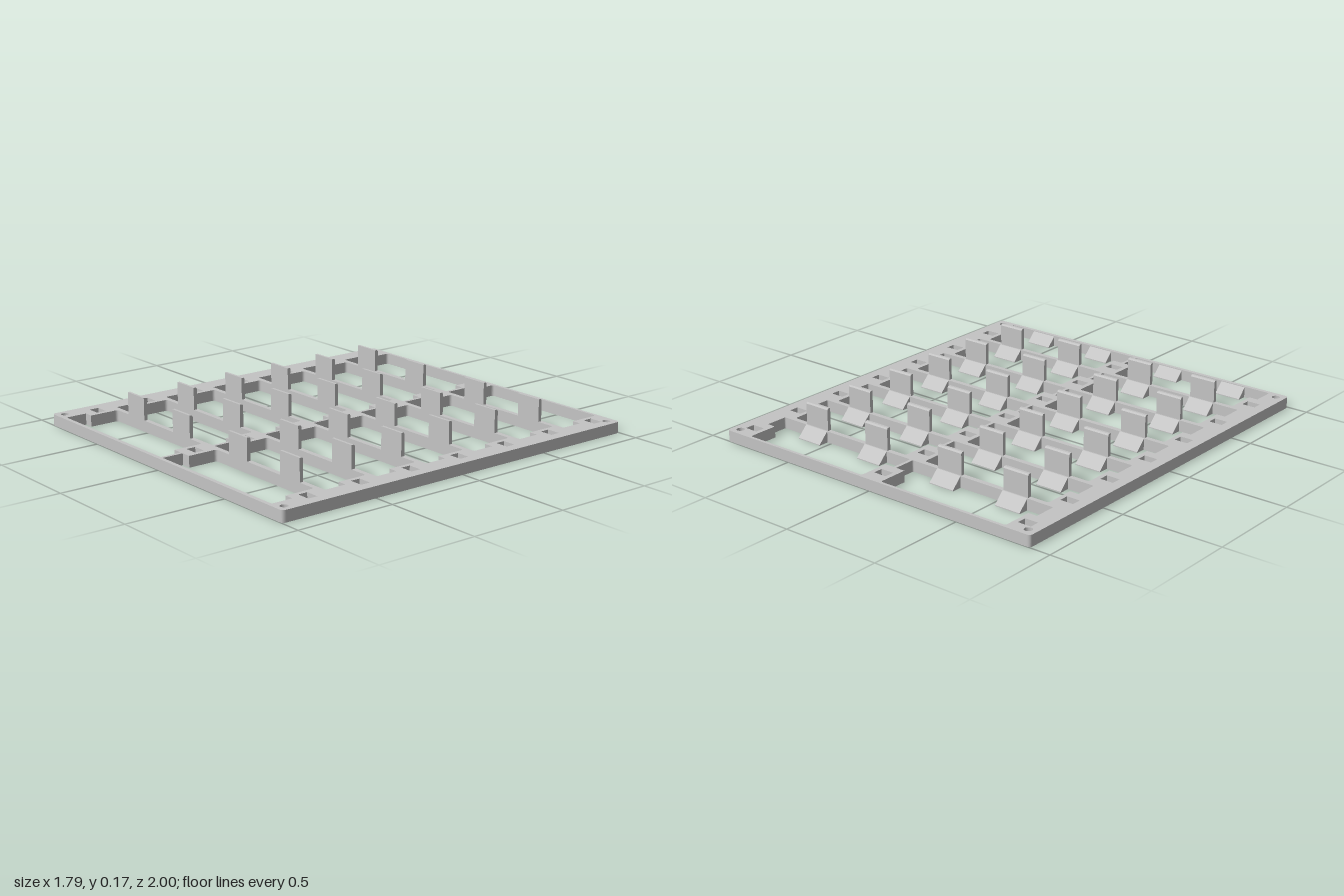
import * as THREE from 'three';

const W = 0.897, L = 1, H = 0.055;          // half width, half length, frame height
const ROWS = 7, PITCH = 0.2845;
const barZ = (i) => -0.711 + PITCH * (i - 1); // cross bar centre closing row i at the front
const BAR = 0.0125;

// Trace a polygon of [x, z, radius] corners, rounding each corner
function trace(path, pts) {
  const v = pts.map(([x, z]) => new THREE.Vector2(x, -z));
  const n = v.length;
  v.forEach((p, i) => {
    const r = pts[i][2] || 0;
    const toward = (q) => q.clone().sub(p).setLength(r).add(p);
    const a = r ? toward(v[(i + n - 1) % n]) : p;
    if (i === 0) path.moveTo(a.x, a.y);
    else path.lineTo(a.x, a.y);
    if (r) {
      const b = toward(v[(i + 1) % n]);
      path.quadraticCurveTo(p.x, p.y, b.x, b.y);
    }
  });
  path.closePath();
  return path;
}

// Counter-clockwise seen from above, so the extrusion orients every hole correctly
const rect = (cx, cz, hx, hz, r = 0) => [
  [cx - hx, cz - hz, r], [cx - hx, cz + hz, r], [cx + hx, cz + hz, r], [cx + hx, cz - hz, r],
];

// Flat frame with stepped bays, square sockets and corner screw holes
function frameGeometry() {
  const shape = trace(new THREE.Shape(), rect(0, 0, W, L, 0.02));
  const cut = (pts) => shape.holes.push(trace(new THREE.Path(), pts));
  for (let i = 0; i < ROWS; i++) {
    const back = i === 0 ? -0.985 : barZ(i) + BAR;
    const front = i === ROWS - 1 ? 0.98 : barZ(i + 1) - BAR;
    const step = barZ(i) + 0.162;
    for (const s of [-1, 1]) {
      cut([
        [s * 0.057, back, 0.015], [s * 0.755, back, 0.015], [s * 0.755, step],
        [s * 0.8, step], [s * 0.8, front, 0.008], [s * 0.008, front, 0.008],
        [s * 0.008, step], [s * 0.057, step],
      ]);
    }
    for (const x of [-0.811, 0, 0.811]) cut(rect(x, barZ(i) + 0.089, 0.034, 0.024));
  }
  for (const x of [-0.853, 0.853]) {
    for (const z of [-0.957, 0.957]) {
      shape.holes.push(new THREE.Path().absarc(x, -z, 0.019, 0, Math.PI * 2));
    }
  }
  return new THREE.ExtrudeGeometry(shape, { depth: H, bevelEnabled: false, curveSegments: 16 })
    .rotateX(-Math.PI / 2);
}

// Extrude a side profile of [z, y] points along x, centred on x = 0
function profileGeometry(pts, width) {
  const shape = new THREE.Shape(pts.map(([z, y]) => new THREE.Vector2(-z, y)));
  return new THREE.ExtrudeGeometry(shape, { depth: width, bevelEnabled: false })
    .translate(0, 0, -width / 2)
    .rotateY(Math.PI / 2);
}

export function createModel() {
  const group = new THREE.Group();
  const grey = new THREE.MeshStandardMaterial({ color: 0xc4c4c4 });
  grey.name = 'grey';
  const add = (name, geometry, x = 0, z = 0) => {
    const mesh = new THREE.Mesh(geometry, grey);
    mesh.name = name;
    mesh.position.set(x, 0, z);
    group.add(mesh);
  };

  add('frame', frameGeometry());

  // Sloped support behind each bar, and the upright tab standing on the bar
  const width = 0.136;
  const ramp = profileGeometry([[-0.064, 0], [-0.005, 0], [-0.005, H], [-0.0125, H], [-0.064, 0.004]], width);
  const tab = profileGeometry(
    [[-0.006, H - 0.005], [0.0125, H - 0.005], [0.0125, 0.165], [0, 0.165], [-0.006, 0.158]], width);
  for (let i = 1; i <= ROWS; i++) {
    for (const x of [-0.592, -0.219, 0.219, 0.592]) {
      add('ramp', ramp, x, barZ(i));
      if (i < ROWS) add('uprightTab', tab, x, barZ(i));
    }
  }
  return group;
}
